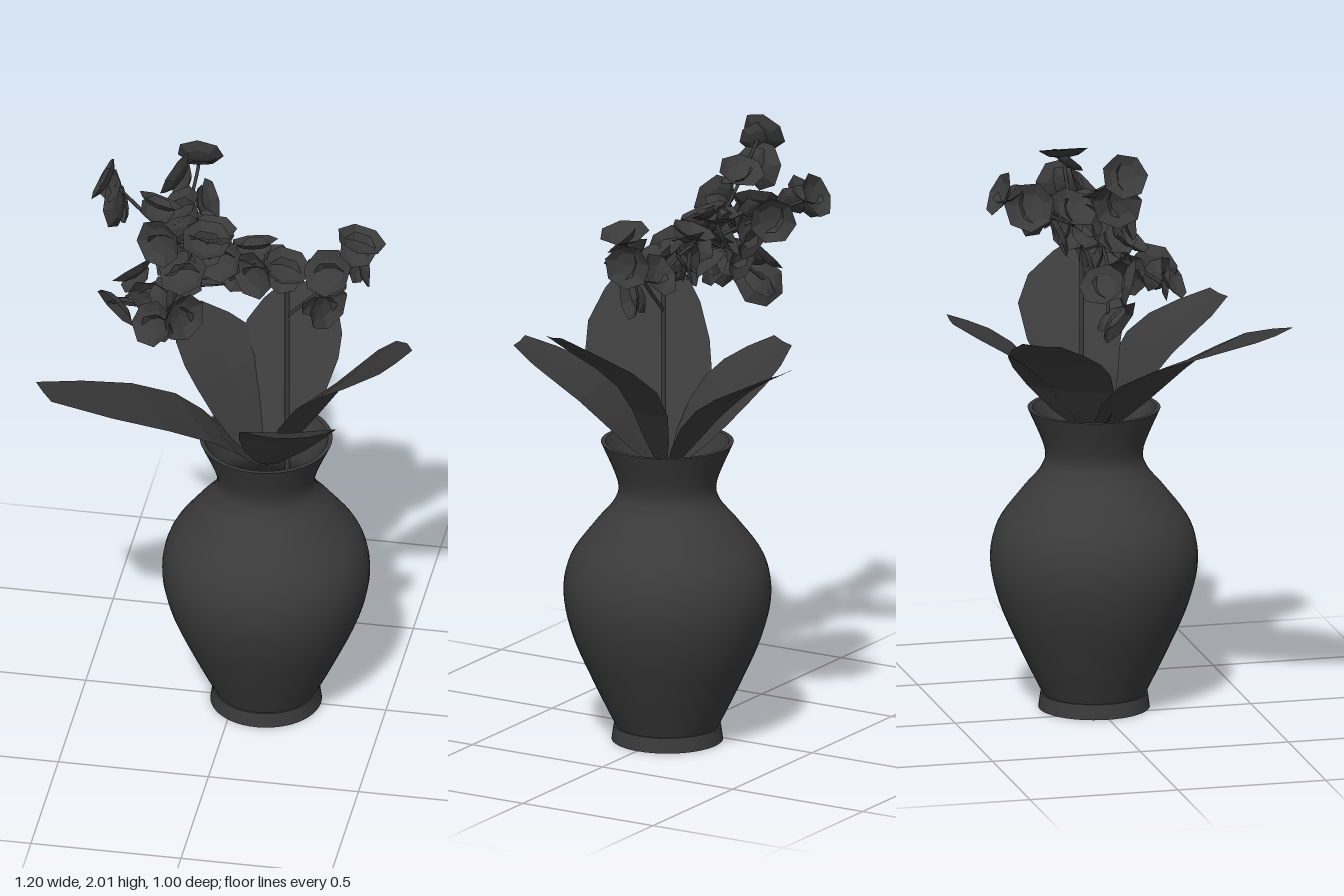
import * as THREE from 'three';
import { toCreasedNormals } from 'three/addons/utils/BufferGeometryUtils.js';

const V = (p) => new THREE.Vector3(...p);
const color = 0x3a3a3a;
const smooth = new THREE.MeshStandardMaterial({ color, side: THREE.DoubleSide });
const faceted = new THREE.MeshStandardMaterial({ color, side: THREE.DoubleSide, flatShading: true });

function add(parent, name, geometry, material) {
  const mesh = new THREE.Mesh(geometry, material);
  mesh.name = name;
  parent.add(mesh);
  return mesh;
}

// Vase: turned body with a stepped foot and flared lip; the inside follows the outside
function vase(parent) {
  const wall = [[0.17, 0.05], [0.243, 0.2], [0.312, 0.36], [0.341, 0.5], [0.318, 0.62],
    [0.24, 0.73], [0.175, 0.81], [0.163, 0.88], [0.218, 1.015]].map((p) => new THREE.Vector2(...p));
  const outer = new THREE.SplineCurve(wall).getPoints(40);
  const inner = outer.map((p) => new THREE.Vector2(p.x - 0.015, p.y)).reverse();
  const foot = [[0, 0], [0.183, 0], [0.176, 0.05]].map((p) => new THREE.Vector2(...p));
  const profile = [...foot, ...outer, ...inner, new THREE.Vector2(0, 0.05)];
  const geometry = toCreasedNormals(new THREE.LatheGeometry(profile, 48), 0.5);
  add(parent, 'vase', geometry, smooth).position.set(0.1, 0, -0.005);
}

// Leaf: cross-sections along a curved midrib from the vase neck, lightly creased
function leaf(parent, { mid, tip, half, tilt }) {
  const base = V([0.1, 0.93, 0]).lerp(V([mid[0], 0.93, mid[2]]), 0.1);
  const midrib = new THREE.CatmullRomCurve3([base, V(mid), V(tip)]);
  const across = new THREE.Vector3(mid[2] - tip[2], 0, tip[0] - mid[0]).setLength(half);
  across.y = tilt;
  const rows = 6, pos = [], index = [];
  for (let i = 0; i <= rows; i++) {
    const t = i / rows;
    const w = Math.sin(Math.PI * (0.04 + 0.86 * t)) ** 0.8;
    for (const s of [-1, 0, 1]) {
      const q = midrib.getPoint(t).addScaledVector(across, s * w);
      pos.push(q.x, s === 0 ? q.y - 0.01 * w : q.y, q.z);
    }
    for (let k = 0; i > 0 && k < 2; k++) {
      const a = (i - 1) * 3 + k, b = a + 3;
      index.push(a, a + 1, b, a + 1, b + 1, b);
    }
  }
  const geometry = new THREE.BufferGeometry();
  geometry.setAttribute('position', new THREE.Float32BufferAttribute(pos, 3));
  geometry.setIndex(index);
  geometry.computeVertexNormals();
  add(parent, 'leaf', geometry, faceted);
}

const LEAVES = [
  { mid: [-0.1, 1.19, 0.19], tip: [-0.56, 1.4, 0.44], half: 0.21, tilt: -0.03 },
  { mid: [0.21, 1.19, 0.21], tip: [0.27, 1.33, 0.46], half: 0.16, tilt: 0 },
  { mid: [0.33, 1.25, -0.03], tip: [0.56, 1.46, 0.15], half: 0.185, tilt: -0.04 },
  { mid: [0.13, 1.2, -0.25], tip: [0.15, 1.33, -0.48], half: 0.17, tilt: 0 },
  { mid: [-0.04, 1.18, -0.15], tip: [-0.21, 1.32, -0.26], half: 0.17, tilt: 0 },
];

// Flower: shallow seven-sided bowl with a smaller one tilted behind it
const bowl = new THREE.LatheGeometry(
  [[0, 0], [0.6, 0.1], [1, 0.35]].map((p) => new THREE.Vector2(...p)), 7);
function flower(parent, point, facing, r) {
  const g = new THREE.Group();
  g.name = 'flower';
  g.position.copy(point);
  g.quaternion.setFromUnitVectors(new THREE.Vector3(0, 1, 0), facing);
  g.scale.setScalar(r);
  add(g, 'petals', bowl, faceted).position.y = 0.25;
  const sepals = add(g, 'sepals', bowl, faceted);
  sepals.scale.setScalar(0.75);
  sepals.rotation.x = 0.7;
  parent.add(g);
}

// Spray: a twig with flowers spiralling round it from 'start', and one at its end
function spray(parent, { name, path, count, start, face }) {
  const g = new THREE.Group();
  g.name = name;
  const curve = new THREE.CatmullRomCurve3(path.map(V));
  add(g, 'twig', new THREE.TubeGeometry(curve, 20, 0.006, 6), smooth);
  for (let i = 1; i <= count; i++) {
    const t = start + (1 - start) * i / count;
    const facing = curve.getTangent(t);
    const point = curve.getPoint(t);
    if (i < count) {
      const radial = new THREE.Vector3(0.3, 0.2, 1).cross(facing).normalize();
      radial.applyAxisAngle(facing, i * 2.4);
      point.addScaledVector(radial, 0.025);
      facing.multiplyScalar(0.3).add(radial);
      facing.y += 0.3;
    } else {
      facing.add(V(face));
    }
    flower(g, point, facing.normalize(), 0.078 + 0.006 * (i % 2));
  }
  parent.add(g);
}

const SPRAYS = [
  { name: 'mainSpray', count: 13, start: 0, face: [0, 0, 1],
    path: [[0.165, 1.6, -0.03], [0.08, 1.66, -0.05], [-0.06, 1.66, -0.05], [-0.2, 1.6, -0.04], [-0.38, 1.46, -0.08]] },
  { name: 'upperSpray', count: 6, start: 0, face: [-0.6, 0, 0],
    path: [[-0.06, 1.66, -0.05], [-0.23, 1.75, -0.04], [-0.41, 1.92, -0.04]] },
  { name: 'backSpray', count: 6, start: 0, face: [0, 0, 0],
    path: [[-0.06, 1.66, -0.05], [-0.18, 1.73, -0.18], [-0.19, 1.82, -0.36]] },
  { name: 'frontSpray', count: 4, start: 0, face: [0, 1, 0],
    path: [[-0.13, 1.63, -0.04], [-0.18, 1.57, 0.05], [-0.23, 1.51, 0.14]] },
  { name: 'sideSpray', count: 5, start: 0.25, face: [0, 1.5, 0],
    path: [[0.165, 1.48, -0.03], [0.28, 1.6, -0.03], [0.4, 1.76, -0.03]] },
];

export function createModel() {
  const model = new THREE.Group();
  model.name = 'pottedFlower';
  vase(model);

  const foliage = new THREE.Group();
  foliage.name = 'leaves';
  LEAVES.forEach((l) => leaf(foliage, l));
  model.add(foliage);

  // Upright stem carrying the sprays
  const stem = add(model, 'stem', new THREE.CylinderGeometry(0.008, 0.008, 1.3, 8), smooth);
  stem.position.set(0.165, 0.96, -0.03);
  SPRAYS.forEach((s) => spray(model, s));
  return model;
}
